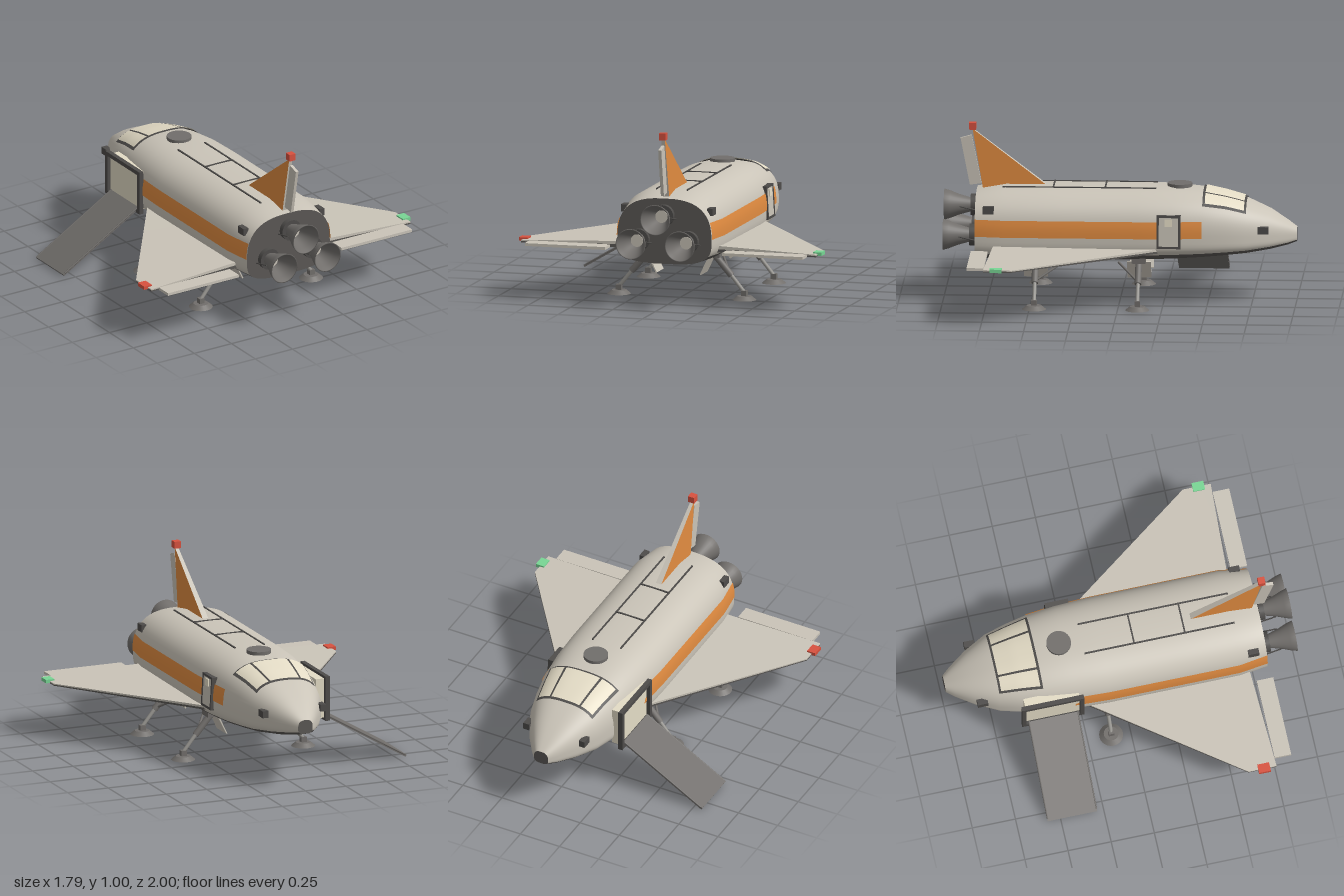
import * as THREE from 'three';

const V = (x, y, z) => new THREE.Vector3(x, y, z);
const mat = (name, color, side = THREE.FrontSide) => {
  const m = new THREE.MeshStandardMaterial({ color, side });
  m.name = name;
  return m;
};

// Hull stations: z, half width, top, bottom, height of the widest line
const STATIONS = [
  [-1, 0.045, 0.416, 0.336, 0.37], [-0.95, 0.085, 0.452, 0.32, 0.37], [-0.85, 0.152, 0.515, 0.3, 0.37],
  [-0.72, 0.218, 0.572, 0.283, 0.37], [-0.6, 0.25, 0.605, 0.272, 0.373], [-0.47, 0.275, 0.632, 0.262, 0.376],
  [-0.3, 0.292, 0.648, 0.252, 0.38], [-0.1, 0.3, 0.65, 0.245, 0.38], [0.3, 0.3, 0.65, 0.24, 0.38],
  [0.65, 0.3, 0.65, 0.24, 0.38], [0.815, 0.278, 0.62, 0.244, 0.38],
];
const UP = 2.7, LOW = 3.2; // roundness above and below the widest line
const BELLY = 0.49; // angle below the widest line where the belly starts

function station(z) {
  let i = 0;
  while (i < STATIONS.length - 2 && z > STATIONS[i + 1][0]) i++;
  const a = STATIONS[i], b = STATIONS[i + 1], t = (z - a[0]) / (b[0] - a[0]);
  return a.map((v, k) => v + (b[k] - v) * t);
}
function hullPoint(angle, z) {
  const [, w, top, bottom, mid] = station(z);
  const n = Math.sin(angle) > 0 ? UP : LOW;
  const bend = (v) => Math.sign(v) * Math.abs(v) ** (2 / n);
  const s = bend(Math.sin(angle));
  return V(w * bend(Math.cos(angle)), mid + s * (s > 0 ? top - mid : mid - bottom), z);
}
const rest = (r) => Math.max(0, 1 - Math.min(1, Math.abs(r)) ** UP) ** (1 / UP);
function hullX(y, z) {
  const [, w, top, , mid] = station(z);
  return w * rest((y - mid) / (top - mid));
}
function hullTop(x, z) {
  const [, w, top, , mid] = station(z);
  return mid + (top - mid) * rest(x / w);
}

export function createModel() {
  const root = new THREE.Group();
  root.name = 'shuttle';
  const D = THREE.DoubleSide;
  const hull = mat('hull grey', 0xcac4b8, D);
  const belly = mat('belly charcoal', 0x5b5855, D);
  const orange = mat('stripe orange', 0xe08b40, D);
  const dark = mat('dark grey', 0x4e4c4a, D);
  const metal = mat('engine grey', 0x716e6b, D);
  const steel = mat('strut grey', 0x979590);
  const glass = mat('cream glass', 0xe4dcc6, D);
  const red = mat('red light', 0xd8523f);
  const green = mat('green light', 0x78d694);

  const add = (parent, name, geo, material) => {
    const m = new THREE.Mesh(geo, material);
    m.name = name;
    parent.add(m);
    return m;
  };
  const box = (parent, name, material, x, y, z, w, h, d) => {
    const m = add(parent, name, new THREE.BoxGeometry(w, h, d), material);
    m.position.set(x, y, z);
    return m;
  };
  // Rod between two points
  const rod = (parent, name, material, a, b, r, sides = 10) => {
    const m = add(parent, name, new THREE.CylinderGeometry(r, r, a.distanceTo(b), sides), material);
    m.position.copy(a).add(b).multiplyScalar(0.5);
    m.quaternion.setFromUnitVectors(V(0, 1, 0), b.clone().sub(a).normalize());
    return m;
  };
  // Grid surface from a rule; du x dv points outward
  const patch = (parent, name, material, nu, nv, fn) => {
    const pos = [], idx = [];
    for (let i = 0; i <= nu; i++) for (let j = 0; j <= nv; j++) pos.push(...fn(i / nu, j / nv).toArray());
    for (let i = 0; i < nu; i++) for (let j = 0; j < nv; j++) {
      const a = i * (nv + 1) + j, b = a + nv + 1;
      idx.push(a, b, a + 1, b, b + 1, a + 1);
    }
    const g = new THREE.BufferGeometry();
    g.setAttribute('position', new THREE.Float32BufferAttribute(pos, 3));
    g.setIndex(idx);
    g.computeVertexNormals();
    return add(parent, name, g, material);
  };
  const quad = (parent, name, material, a, b, c, d) => patch(parent, name, material, 1, 1,
    (u, v) => a.clone().lerp(b, u).lerp(d.clone().lerp(c, u), v));

  // Hull, belly and end caps
  const rows = STATIONS.length - 1;
  const shell = (name, material, a0, a1, seg) => patch(root, name, material, seg, rows,
    (u, v) => hullPoint(a0 + (a1 - a0) * u, STATIONS[Math.round(v * rows)][0]));
  shell('upperHull', hull, -BELLY, Math.PI + BELLY, 44);
  shell('belly', belly, Math.PI + BELLY, 2 * Math.PI - BELLY, 20);
  for (const [name, z] of [['noseCap', -1], ['rearBulkhead', 0.815]]) {
    const [, , top, bottom] = station(z);
    patch(root, name, belly, 1, 48, (u, v) => {
      const a = v * Math.PI * 2 * (z < 0 ? -1 : 1);
      return u ? hullPoint(a, z) : V(0, (top + bottom) / 2, z);
    });
  }

  // Side stripes
  const stripeZ = STATIONS.map((s) => s[0]).filter((z) => z >= -0.47);
  for (const s of [1, -1]) {
    patch(root, 'sideStripe', orange, 4, stripeZ.length - 1, (u, v) => {
      const z = stripeZ[Math.round(v * (stripeZ.length - 1))];
      const y = s > 0 ? 0.396 + 0.096 * u : 0.492 - 0.096 * u;
      return V(s * (hullX(y, z) + 0.004), y, z);
    });
  }

  // Cockpit windows: dark surround with three panes
  const pane = (name, material, z0, z1, f0, f1, lift) => patch(root, name, material, 8, 12, (u, v) => {
    const z = z0 + (z1 - z0) * u;
    const x = (0.22 - ((-0.475 - z) / 0.24) * 0.04) * (f0 + (f1 - f0) * v);
    return V(x, hullTop(x, z) + lift, z);
  });
  pane('windowSurround', dark, -0.718, -0.472, -1, 1, 0.007);
  for (const [a, b] of [[-0.95, -0.55], [-0.49, 0.49], [0.55, 0.95]]) pane('windowPane', glass, -0.706, -0.486, a, b, 0.012);

  // Roof hatch and cargo bay seams
  const hatch = add(root, 'roofHatch', new THREE.CylinderGeometry(0.07, 0.07, 0.02, 32), metal);
  hatch.position.set(0, 0.654, -0.335);
  for (const x of [-0.09, 0.09]) box(root, 'bayDoorSeam', dark, x, 0.646, 0.23, 0.009, 0.01, 0.87);
  for (const z of [0.083, 0.377]) box(root, 'bayCrossSeam', dark, 0, 0.649, z, 0.18, 0.01, 0.009);

  // Tail fin, orange cheeks, rudder and beacon
  const fin = [[0.42, 0.645], [0.84, 0.965], [0.78, 0.62]];
  const finX = (y) => 0.018 - ((y - 0.62) / 0.345) * 0.008;
  const finPt = (s, i) => V(s * finX(fin[i][1]), fin[i][1], fin[i][0]);
  for (let i = 0; i < 3; i++) {
    const j = (i + 1) % 3;
    quad(root, 'finEdge', hull, finPt(-1, i), finPt(1, i), finPt(1, j), finPt(-1, j));
  }
  for (const s of [1, -1]) {
    const p = [0, 1, 2].map((i) => finPt(s, i));
    if (s > 0) quad(root, 'finCheek', orange, p[0], p[1], p[2], p[2]);
    else quad(root, 'finCheek', orange, p[0], p[2], p[2], p[1]);
  }
  const rudderShape = new THREE.Shape([[-0.855, 0.64], [-0.79, 0.65], [-0.845, 0.928], [-0.908, 0.91]]
    .map((p) => new THREE.Vector2(...p)));
  const rudder = add(root, 'rudder', new THREE.ExtrudeGeometry(rudderShape, { depth: 0.018, bevelEnabled: false }), hull);
  rudder.rotation.y = Math.PI / 2;
  rudder.position.x = -0.009;
  box(root, 'tailBeacon', red, 0, 0.98, 0.84, 0.04, 0.04, 0.04);

  // Three engine bells
  const bell = [[0.036, 0], [0.044, 0.03], [0.06, 0.085], [0.078, 0.13], [0.088, 0.165], [0.082, 0.165],
    [0.07, 0.125], [0.052, 0.08], [0.034, 0.03]].map((p) => new THREE.Vector2(...p));
  for (const [x, y] of [[0, 0.525], [-0.145, 0.38], [0.145, 0.38]]) {
    const e = new THREE.Group();
    e.name = 'engine';
    e.position.set(x, y, 0.835);
    e.rotation.x = Math.PI / 2;
    root.add(e);
    add(e, 'engineMount', new THREE.CylinderGeometry(0.062, 0.062, 0.03, 24), dark);
    add(e, 'engineBell', new THREE.LatheGeometry(bell, 32), metal);
    add(e, 'engineCore', new THREE.CylinderGeometry(0.036, 0.036, 0.01, 24), hull).position.y = 0.035;
    for (const s of [-1, 1]) rod(e, 'engineStrut', dark, V(s * 0.068, -0.02, 0.02), V(s * 0.062, 0.075, 0), 0.004, 6);
  }

  // Everything mirrored left and right
  for (const s of [1, -1]) {
    const side = new THREE.Group();
    side.name = s > 0 ? 'leftSide' : 'rightSide';
    side.scale.x = s;
    root.add(side);

    // Delta wing: leading root, leading tip, trailing tip, trailing root
    const plan = [[0.25, -0.27], [0.87, 0.575], [0.87, 0.737], [0.25, 0.708]];
    const level = (heights) => plan.map(([x, z], i) => V(x, heights[i], z));
    const up = level([0.335, 0.324, 0.326, 0.345]);
    const mid = level([0.322, 0.318, 0.319, 0.325]);
    const low = level([0.31, 0.312, 0.312, 0.306]);
    quad(side, 'wingTop', hull, up[0], up[3], up[2], up[1]);
    quad(side, 'wingUnderside', belly, ...low);
    for (let i = 0; i < 3; i++) {
      quad(side, 'wingUpperEdge', hull, mid[i], up[i], up[i + 1], mid[i + 1]);
      quad(side, 'wingLowerEdge', belly, low[i], mid[i], mid[i + 1], low[i + 1]);
    }
    box(side, 'elevon', hull, 0.582, 0.318, 0.785, 0.475, 0.016, 0.096);
    box(side, 'wingTipLight', s > 0 ? green : red, 0.868, 0.324, 0.665, 0.052, 0.02, 0.068);

    // Manoeuvring thrusters
    box(side, 'noseThruster', dark, 0.178, 0.428, -0.815, 0.036, 0.04, 0.06);
    box(side, 'rearThruster', dark, 0.255, 0.545, 0.738, 0.032, 0.042, 0.062);

    // Landing legs with pads, braces and open bay doors
    for (const z of [0.473, -0.112]) {
      const brace = z > 0 ? -0.16 : 0.115;
      box(side, 'legMount', metal, 0.2, 0.255, z, 0.07, 0.03, 0.08);
      rod(side, 'legSleeve', metal, V(0.195, 0.25, z), V(0.295, 0.135, z), 0.019, 14);
      rod(side, 'legPiston', steel, V(0.29, 0.141, z), V(0.368, 0.045, z), 0.011);
      rod(side, 'legBrace', metal, V(0.19, 0.24, z + brace), V(0.285, 0.145, z), 0.007, 8);
      box(side, 'ankle', metal, 0.37, 0.038, z, 0.032, 0.03, 0.032);
      const pad = add(side, 'footPad', new THREE.CylinderGeometry(0.042, 0.068, 0.022, 24), metal);
      pad.position.set(0.37, 0.011, z);
      const door = box(side, 'legBayDoor', hull, 0.154, 0.192, z, 0.007, 0.112, 0.136);
      door.rotation.z = -0.45;
    }
  }

  // Rectangular frame lying in a plane facing sideways
  const frame = (parent, name, x, y, z, w, h, d, bar) => {
    for (const k of [-1, 1]) {
      box(parent, name, dark, x, y + k * (h - bar) / 2, z, w, bar, d);
      box(parent, name, dark, x, y, z + k * (d - bar) / 2, w, h - 2 * bar, bar);
    }
  };

  // Open cargo hatch with its ramp on the right side
  frame(root, 'cargoHatchFrame', -0.304, 0.41, -0.435, 0.026, 0.26, 0.36, 0.024);
  box(root, 'cargoHatchLining', glass, -0.268, 0.41, -0.435, 0.055, 0.23, 0.315);
  const ramp = box(root, 'ramp', metal, -0.553, 0.158, -0.432, 0.585, 0.014, 0.286);
  ramp.rotation.z = Math.atan2(0.295, 0.5);
  for (const z of [-0.573, -0.291]) {
    rod(root, 'rampRail', metal, V(-0.3, 0.312, z), V(-0.795, 0.02, z), 0.005, 6);
  }

  // Crew door on the left side, leaning with the hull
  const crew = new THREE.Group();
  crew.name = 'crewDoorway';
  crew.position.set(0.281, 0.435, -0.285);
  crew.rotation.z = 0.06;
  root.add(crew);
  frame(crew, 'crewDoorFrame', 0, 0, 0, 0.04, 0.19, 0.136, 0.013);
  box(crew, 'crewDoor', hull, 0, 0, 0, 0.034, 0.168, 0.114);
  box(crew, 'crewDoorWindow', glass, 0.019, 0.053, 0, 0.008, 0.042, 0.042);
  return root;
}
